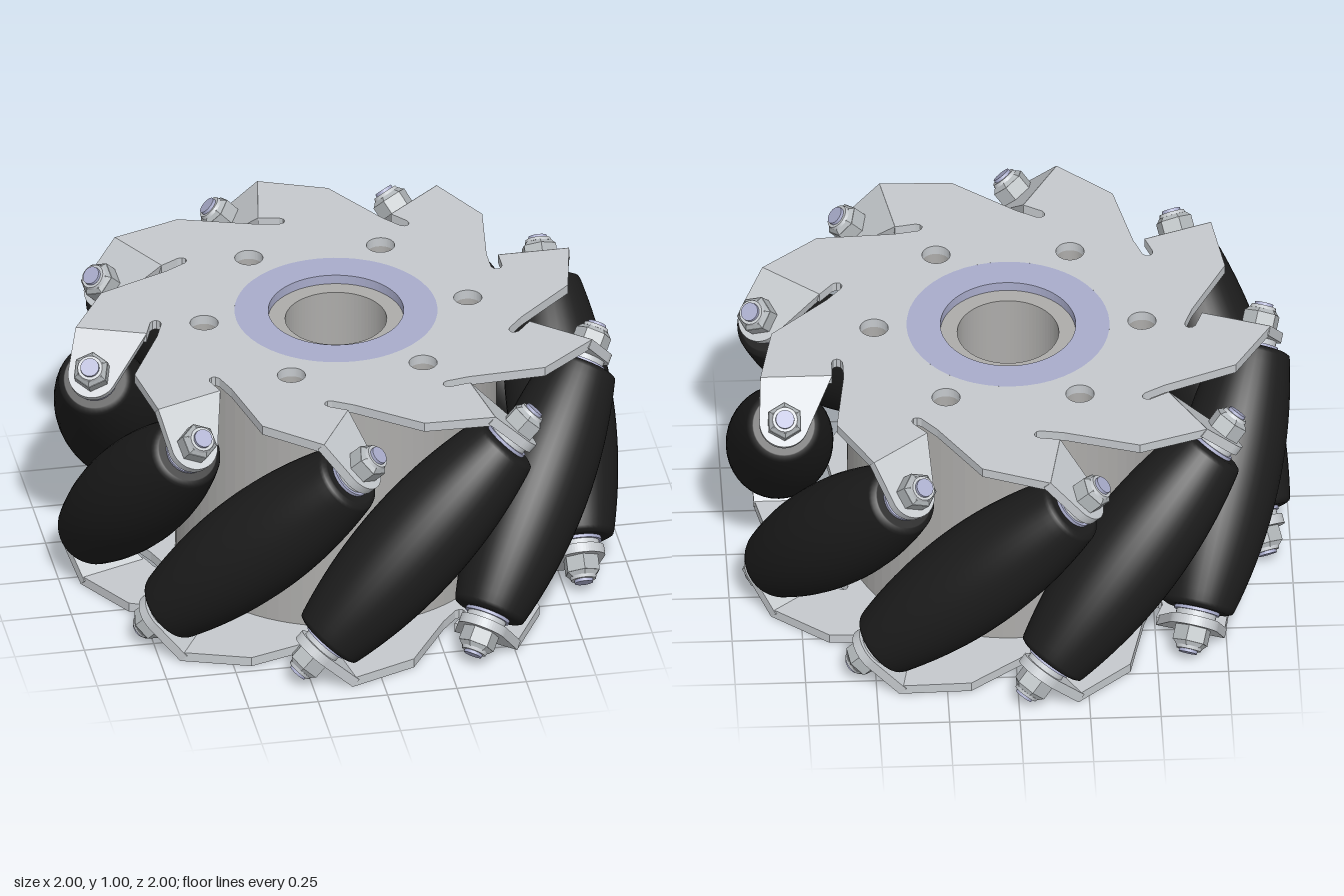
import * as THREE from 'three';

const COUNT = 9, STEP = (Math.PI * 2) / COUNT;
const AXLE_RADIUS = 0.81;   // distance of the roller axles from the wheel axis
const PLATE = 0.035;        // sheet thickness

const mat = (color, extra = {}) => {
  const m = new THREE.MeshStandardMaterial({ color });
  return Object.assign(m, extra);
};
const steel = mat(0xc5c9cd), hubGrey = mat(0xadacaa), rubber = mat(0x1c1c1c);
const bluish = mat(0xa9accb), nutGrey = mat(0xb2b7ba, { flatShading: true });

function add(parent, name, geometry, material, y = 0) {
  const mesh = new THREE.Mesh(geometry, material);
  mesh.name = name;
  mesh.position.y = y;
  parent.add(mesh);
  return mesh;
}

function circlePath(x, y, r) {
  const p = new THREE.Path();
  p.absarc(x, y, r, 0, Math.PI * 2, true);
  return p;
}

// Extrude a shape drawn in plan so that it lies flat and rises by depth
function flatExtrude(shape, depth, curveSegments = 24) {
  const g = new THREE.ExtrudeGeometry(shape, { depth, bevelEnabled: false, curveSegments });
  return g.rotateX(-Math.PI / 2);
}

function boltHoles(shape) {
  for (let i = 0; i < 6; i++) {
    const a = (i * Math.PI) / 3;
    shape.holes.push(circlePath(0.475 * Math.cos(a), 0.475 * Math.sin(a), 0.05));
  }
}

function disc(outer, inner) {
  const s = new THREE.Shape();
  s.absarc(0, 0, outer, 0, Math.PI * 2, false);
  s.holes.push(circlePath(0, 0, inner));
  return s;
}

// Saw-toothed side plate: each tooth as (radial, sideways) corners, ending in a relief slot
function plateGeometry() {
  const tooth = [
    [0.84, 0.02], [0.89, 0.27], [0.635, 0.27], [0.635, 0.195],
    [0.628, 0.181], [0.615, 0.175], [0.602, 0.181], [0.595, 0.195], [0.595, 0.28],
  ];
  const points = [];
  for (let k = 0; k < COUNT; k++) {
    const c = Math.cos(-k * STEP), s = Math.sin(-k * STEP);
    for (const [r, t] of tooth) points.push(new THREE.Vector2(r * c + t * s, t * c - r * s));
  }
  const shape = new THREE.Shape(points);
  shape.holes.push(circlePath(0, 0, 0.36));
  boltHoles(shape);
  return flatExtrude(shape, PLATE);
}

// Bent-down tab that carries the axle, centred on the axle
function tabGeometry() {
  const s = new THREE.Shape();
  s.moveTo(-0.175, -0.163);
  s.lineTo(0.08, -0.163);
  s.lineTo(0.088, 0);
  s.absarc(0, 0, 0.088, 0, 2.7, false);
  s.closePath();
  return flatExtrude(s, PLATE, 12);
}

// Barrel profile whose outer line touches a wheel of radius 1 when set at 45 degrees
function rollerGeometry() {
  const pts = [];
  const N = 24, S = 0.425;
  for (let i = 0; i <= N; i++) {
    const s = -S + (2 * S * i) / N;
    const rho = Math.hypot(AXLE_RADIUS, s * Math.SQRT1_2);
    const lean = s / (2 * rho);
    pts.push(new THREE.Vector2((1 - rho) * Math.sqrt(1 - lean * lean), s + (1 - rho) * lean));
  }
  const end = pts[N];
  const cap = [[end.x - 0.005, end.y + 0.012], [end.x - 0.02, end.y + 0.019],
    [end.x - 0.024, end.y + 0.02], [0, end.y + 0.02]];
  for (const [x, y] of cap) {
    pts.push(new THREE.Vector2(x, y));
    pts.unshift(new THREE.Vector2(x, -y));
  }
  return new THREE.LatheGeometry(pts, 40);
}

export function createModel() {
  const wheel = new THREE.Group();
  wheel.name = 'rollerWheel';

  // Hub drum with bore and bolt holes
  const hubShape = disc(0.57, 0.18);
  boltHoles(hubShape);
  add(wheel, 'hub', flatExtrude(hubShape, 1 - 2 * PLATE, 40), hubGrey, PLATE);

  // Side plates with bearing rings, the lower one turned over
  const plateGeo = plateGeometry();
  const ringGeo = flatExtrude(disc(0.36, 0.24), PLATE, 40);
  for (const side of ['top', 'bottom']) {
    const g = new THREE.Group();
    g.name = side + 'Plate';
    g.position.y = 0.5;
    if (side === 'bottom') g.rotation.x = Math.PI;
    add(g, 'toothedPlate', plateGeo, steel, 0.5 - PLATE);
    add(g, 'bearingRing', ringGeo, bluish, 0.5 - PLATE);
    wheel.add(g);
  }

  // Rollers with their tabs and fasteners
  const rollerGeo = rollerGeometry();
  const tabGeo = tabGeometry();
  const cyl = (top, bottom, h, n) => new THREE.CylinderGeometry(top, bottom, h, n);
  const spacerGeo = cyl(0.082, 0.082, 0.02, 28), washerGeo = cyl(0.072, 0.072, 0.026, 28);
  const nutGeo = cyl(0.066, 0.066, 0.055, 6), crownGeo = cyl(0.05, 0.064, 0.015, 6);
  const collarGeo = cyl(0.044, 0.048, 0.012, 20), boltGeo = cyl(0.033, 0.035, 0.03, 20);

  for (let k = 0; k < COUNT; k++) {
    const spoke = new THREE.Group();
    spoke.name = 'rollerUnit';
    spoke.rotation.y = -k * STEP;
    const axle = new THREE.Group();
    axle.name = 'axle';
    axle.position.set(AXLE_RADIUS, 0.5, 0);
    axle.rotation.x = -Math.PI / 4;
    add(axle, 'roller', rollerGeo, rubber);
    for (const turn of [0, Math.PI]) {
      const end = new THREE.Group();
      end.name = 'axleEnd';
      end.rotation.x = turn;
      add(end, 'spacer', spacerGeo, bluish, 0.48);
      add(end, 'washer', washerGeo, steel, 0.498);
      add(end, 'tab', tabGeo, steel, 0.51);
      add(end, 'nut', nutGeo, nutGrey, 0.5725);
      add(end, 'nutCrown', crownGeo, nutGrey, 0.6075);
      add(end, 'nutCollar', collarGeo, steel, 0.62);
      add(end, 'boltTip', boltGeo, bluish, 0.622);
      axle.add(end);
    }
    spoke.add(axle);
    wheel.add(spoke);
  }
  return wheel;
}
